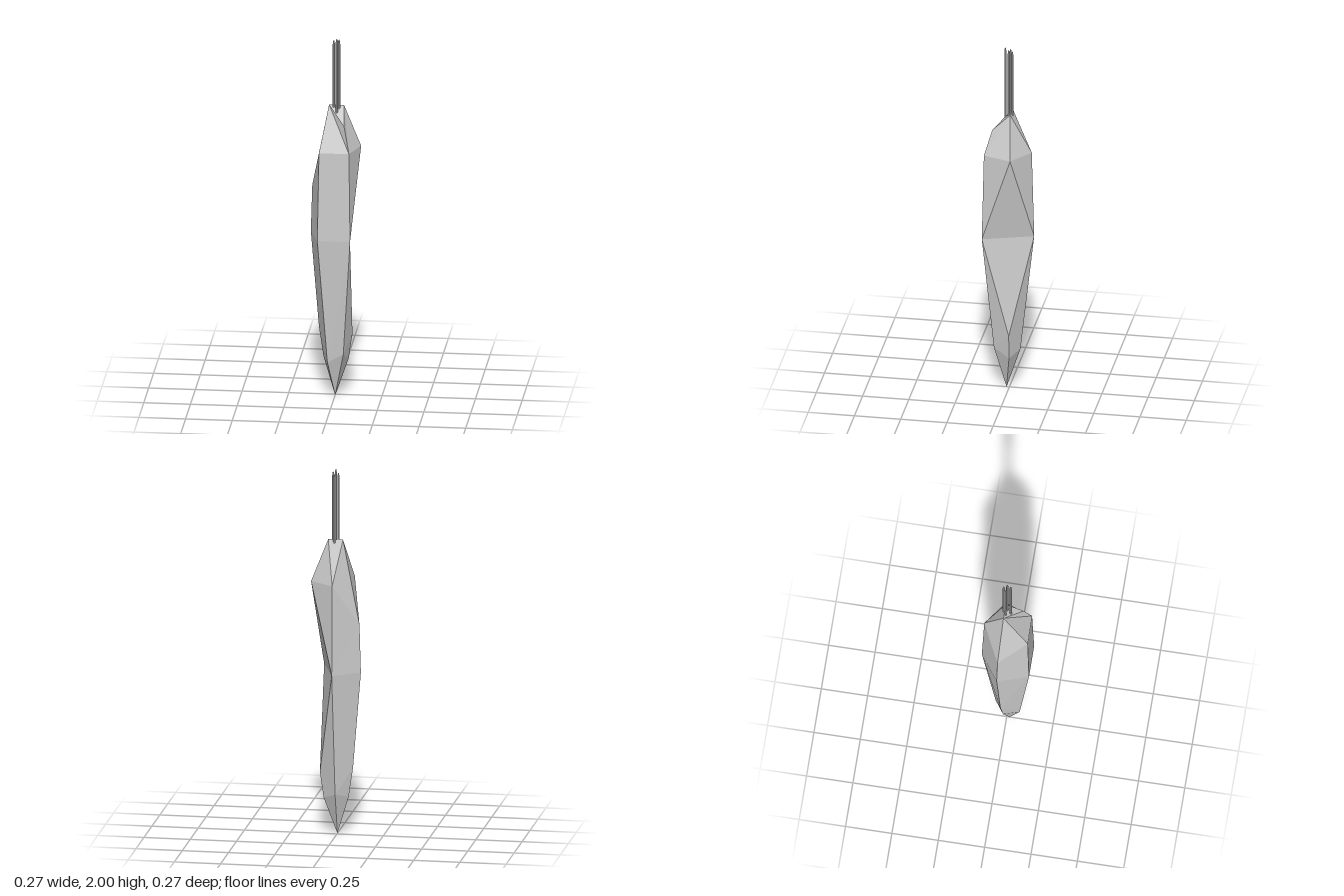
import * as THREE from 'three';

const material = () => new THREE.MeshStandardMaterial({ color: 0xcccccc, flatShading: true });

// Corners of the shard: a = back, b = left, c = front left, d = front right, e = right
const P = {
  tip: [0, 0, 0.015],
  // lower taper
  a0: [0, 0.23, -0.06], b0: [0.07, 0.2, -0.01], c0: [0.05, 0.25, 0.075],
  d0: [-0.035, 0.2, 0.075], e0: [-0.065, 0.21, -0.01],
  b1: [0.09, 0.34, -0.012], e1: [-0.09, 0.37, -0.02],
  // widest girdle
  a2: [0.005, 0.9, -0.135], c2: [0.092, 0.9, 0.133],
  d2: [-0.083, 0.9, 0.133], e2: [-0.135, 0.9, -0.033],
  // shoulder
  a3: [0.005, 1.39, -0.122], b3: [0.135, 1.39, -0.027], c3: [0.085, 1.39, 0.123],
  d3: [-0.075, 1.39, 0.125], e3: [-0.127, 1.16, -0.03],
  // sloping crown
  right: [-0.035, 1.62, -0.012], left: [0.045, 1.62, -0.012], front: [0.055, 1.53, 0.083],
};

// Facets, each split as a fan from its first corner
const FACETS = [
  'tip a0 b0', 'tip b0 c0', 'tip c0 d0', 'tip d0 e0', 'tip e0 a0',
  'b1 a0 b0', 'b1 b0 c0', 'e1 e0 d0', 'e1 a0 e0',
  'a2 b1 a0', 'c2 b1 c0', 'c2 c0 d0 d2', 'e1 d0 d2', 'e1 d2 e2', 'a2 e2 e1', 'a2 e1 a0',
  'a2 c2 b1', 'a2 c2 b3',
  'a3 b3 a2', 'b3 c3 c2', 'c3 d3 d2 c2', 'e3 d3 d2 e2', 'e3 a3 a2', 'e3 a2 e2',
  'right a3 e3 d3', 'right left a3', 'left b3 a3', 'left b3 c3 front',
  'right d3 c3 front', 'right left front',
];

function shardGeometry() {
  const positions = [];
  const normal = new THREE.Vector3();
  for (const facet of FACETS) {
    const v = facet.split(' ').map((name) => new THREE.Vector3(...P[name]));
    for (let i = 1; i < v.length - 1; i++) {
      const t = new THREE.Triangle(v[0], v[i], v[i + 1]);
      // turn every triangle away from the core line
      const outward = t.getMidpoint(new THREE.Vector3());
      outward.y -= THREE.MathUtils.clamp(outward.y, 0.3, 1.3);
      const order = t.getNormal(normal).dot(outward) < 0 ? [t.a, t.c, t.b] : [t.a, t.b, t.c];
      order.forEach((p) => positions.push(p.x, p.y, p.z));
    }
  }
  const geometry = new THREE.BufferGeometry();
  geometry.setAttribute('position', new THREE.Float32BufferAttribute(positions, 3));
  geometry.computeVertexNormals();
  return geometry;
}

// Thin pin with a short tapered end
function makePin(x, z, top) {
  const profile = [[0, 1.58], [0.006, 1.58], [0.006, top - 0.025], [0.003, top - 0.004], [0, top]];
  const pin = new THREE.Mesh(
    new THREE.LatheGeometry(profile.map(([r, y]) => new THREE.Vector2(r, y)), 8),
    material()
  );
  pin.position.set(x, 0, z);
  pin.name = 'pin';
  return pin;
}

export function createModel() {
  const model = new THREE.Group();
  model.name = 'pinnedShard';

  const shard = new THREE.Mesh(shardGeometry(), material());
  shard.name = 'shardBody';
  model.add(shard);

  // Four pins rising from the crown
  const pins = new THREE.Group();
  pins.name = 'pins';
  const layout = [[0.011, -0.018, 1.98], [-0.009, -0.005, 1.985], [0.02, 0, 1.99], [0.009, 0.02, 2]];
  layout.forEach(([x, z, top]) => pins.add(makePin(x, z, top)));
  model.add(pins);

  return model;
}
